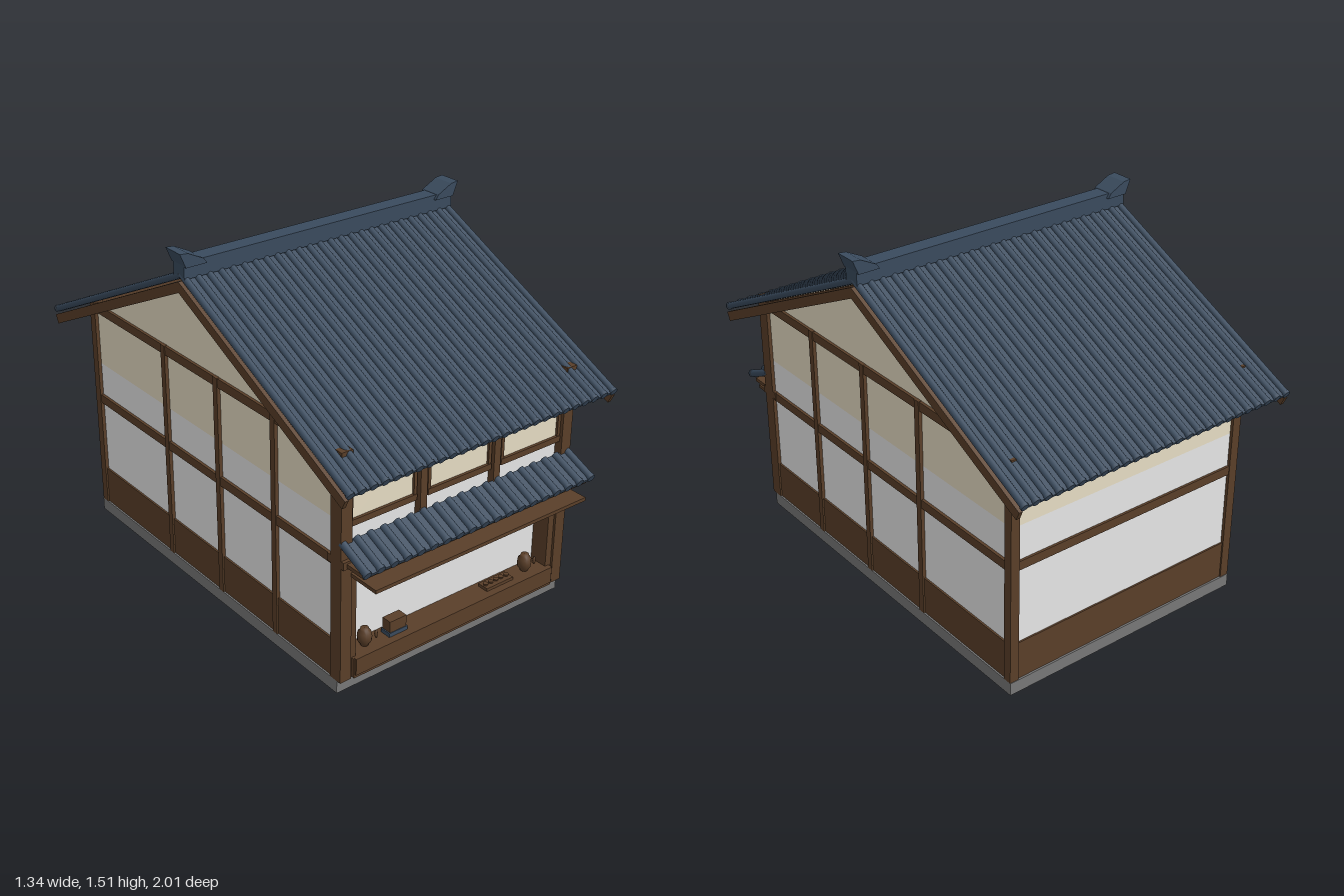
import * as THREE from 'three';

const mat = (name, color, side = THREE.FrontSide) => {
  const m = new THREE.MeshStandardMaterial({ color, side });
  m.name = name;
  return m;
};

export function createModel() {
  const wood = mat('dark wood', 0x5a3f29);
  const white = mat('white plaster', 0xf8f8f8);
  const cream = mat('cream plaster', 0xf2e8ce);
  const tile = mat('blue grey tile', 0x3a4b5e);
  const stone = mat('grey stone', 0x787878);

  const model = new THREE.Group();
  model.name = 'shopHouse';

  const add = (name, geo, m, parent = model) => {
    const mesh = new THREE.Mesh(geo, m);
    mesh.name = name;
    parent.add(mesh);
    return mesh;
  };
  // Box given by its min and max on each axis
  const box = (name, m, x0, x1, y0, y1, z0, z1, parent = model) => {
    const mesh = add(name, new THREE.BoxGeometry(x1 - x0, y1 - y0, z1 - z0), m, parent);
    mesh.position.set((x0 + x1) / 2, (y0 + y1) / 2, (z0 + z1) / 2);
    return mesh;
  };
  // Same box on both sides of x = 0
  const pair = (name, m, x0, x1, ...rest) => {
    box(name, m, x0, x1, ...rest);
    box(name, m, -x1, -x0, ...rest);
  };

  // Foundation and plaster body, with a recess for the shop front
  box('foundation', stone, -0.57, 0.57, 0, 0.055, -0.84, 0.84);
  box('lowerWall', white, -0.555, 0.555, 0.055, 0.56, -0.825, 0.77);
  pair('recessCheek', white, 0.5, 0.555, 0.055, 0.56, 0.77, 0.83);
  box('middleWall', white, -0.555, 0.555, 0.56, 0.73, -0.825, 0.825);

  // Upper body including both gables
  const gable = new THREE.Shape([[-0.825, 0.73], [0.825, 0.73], [0.825, 0.99], [0, 1.392], [-0.825, 0.99]]
    .map(([a, b]) => new THREE.Vector2(a, b)));
  const gableGeo = new THREE.ExtrudeGeometry(gable, { depth: 1.11, bevelEnabled: false });
  gableGeo.translate(0, 0, -0.555).rotateY(Math.PI / 2);
  add('upperWall', gableGeo, cream);

  // Wooden skirting
  pair('sideSkirting', wood, 0.553, 0.563, 0.055, 0.22, -0.83, 0.83);
  box('backSkirting', wood, -0.56, 0.56, 0.055, 0.22, -0.832, -0.82);

  // Corner posts, side posts and beams
  pair('frontPost', wood, 0.52, 0.57, 0.055, 1.02, 0.8, 0.86);
  pair('backPost', wood, 0.53, 0.57, 0.055, 1.02, -0.838, -0.8);
  for (const z of [0.455, 0.09, -0.275]) {
    pair('sidePost', wood, 0.55, 0.57, 0.055, 1.01, z - 0.014, z + 0.014);
  }
  for (const y of [0.565, 0.99]) {
    pair('sideBeam', wood, 0.55, 0.567, y - 0.019, y + 0.019, -0.81, 0.81);
    box('backBeam', wood, -0.54, 0.54, y - 0.019, y + 0.019, -0.835, -0.82);
  }

  // Upper front: white wall with three framed windows
  box('upperFrontWall', white, -0.55, 0.55, 0.72, 0.985, 0.82, 0.83);
  for (const x of [-0.184, 0.18]) box('windowPost', wood, x - 0.016, x + 0.016, 0.58, 0.99, 0.82, 0.855);
  box('upperFrontBeam', wood, -0.53, 0.53, 0.965, 1.0, 0.82, 0.85);
  for (const [x0, x1] of [[-0.52, -0.21], [-0.157, 0.157], [0.208, 0.52]]) {
    box('windowPane', cream, x0, x1, 0.7, 0.97, 0.829, 0.836);
    box('windowSill', wood, x0, x1, 0.702, 0.727, 0.83, 0.848);
    for (const x of [x0, x1 - 0.014]) box('windowStile', wood, x, x + 0.014, 0.702, 0.97, 0.83, 0.846);
  }

  // Shop front: jambs, lintel, counter and projecting shelf
  pair('shopJamb', wood, 0.49, 0.525, 0.055, 0.56, 0.77, 0.85);
  box('shopLintel', wood, -0.57, 0.57, 0.553, 0.585, 0.78, 0.875);
  box('transom', cream, -0.49, 0.49, 0.515, 0.555, 0.77, 0.778);
  box('counter', wood, -0.51, 0.51, 0.055, 0.14, 0.765, 0.866);
  box('counterLip', wood, -0.505, 0.505, 0.07, 0.142, 0.86, 0.873);
  box('awningShelf', wood, -0.525, 0.525, 0.504, 0.519, 0.85, 1.0);

  // Tiled slope: local z runs down the slope from the group origin
  const tiledSlope = (name, halfWidth, length, count, r, thick) => {
    const g = new THREE.Group();
    g.name = name;
    box('tileBed', tile, -halfWidth, halfWidth, -thick, 0, 0, length, g);
    const rib = new THREE.CylinderGeometry(r, r, length, 10).rotateX(Math.PI / 2);
    const cap = new THREE.CylinderGeometry(r + 0.002, r + 0.002, 0.012, 12).rotateX(Math.PI / 2);
    for (let i = 0; i < count; i++) {
      const x = (halfWidth - r * 0.5) * (2 * i / (count - 1) - 1);
      add('tileRib', rib, tile, g).position.set(x, 0, length / 2);
      add('eaveCap', cap, tile, g).position.set(x, 0, length - 0.004);
    }
    return g;
  };

  // Main roof, one half for each side of the ridge, with barge boards
  const pitch = Math.atan(0.478);
  for (const turn of [0, Math.PI]) {
    const half = new THREE.Group();
    half.name = turn ? 'backRoof' : 'frontRoof';
    half.rotation.y = turn;
    model.add(half);
    const slope = tiledSlope('roofSlope', 0.645, 1.102, 26, 0.0145, 0.012);
    slope.position.y = 1.414;
    slope.rotation.x = pitch;
    half.add(slope);
    const boards = new THREE.Group();
    boards.name = 'bargeBoards';
    boards.position.y = 1.367;
    boards.rotation.x = pitch;
    half.add(boards);
    for (const s of [-1, 1]) {
      box('bargeBoard', wood, s * 0.647 - 0.008, s * 0.647 + 0.008, -0.02, 0.02, -0.008, 1.083, boards);
    }
    // Rafter against the gable wall
    for (const s of [-1, 1]) {
      box('gableRafter', wood, s * 0.562 - 0.008, s * 0.562 + 0.008, -0.02, 0.02, -0.008, 0.95, boards);
    }
  }

  // Ridge with flared end tiles
  box('ridge', tile, -0.65, 0.65, 1.405, 1.473, -0.036, 0.036);
  const flare = new THREE.Shape([[0.555, 1.455], [0.648, 1.455], [0.672, 1.514], [0.637, 1.51], [0.57, 1.476]]
    .map(([a, b]) => new THREE.Vector2(a, b)));
  for (const turn of [0, Math.PI]) {
    const geo = new THREE.ExtrudeGeometry(flare, { depth: 0.096, bevelEnabled: false });
    geo.translate(0, 0, -0.048);
    add('ridgeEnd', geo, tile).rotation.y = turn;
  }

  // Awning over the shop front
  const awning = tiledSlope('awning', 0.565, 0.155, 19, 0.016, 0.014);
  awning.position.set(0, 0.652, 0.85);
  awning.rotation.x = Math.atan(0.44);
  model.add(awning);
  box('awningBeam', wood, -0.555, 0.555, 0.56, 0.576, 0.86, 0.97);

  // Lanterns and small bottles on the counter
  const profile = (pts) => new THREE.LatheGeometry(pts.map(([a, b]) => new THREE.Vector2(a, b)), 14);
  const lantern = profile([[0, 0], [0.016, 0], [0.018, 0.008], [0.027, 0.02], [0.029, 0.038],
    [0.027, 0.056], [0.018, 0.068], [0.016, 0.076], [0, 0.076]]);
  const bottle = profile([[0, 0], [0.004, 0.002], [0.007, 0.015], [0.006, 0.025], [0.003, 0.034], [0, 0.035]]);
  for (const x of [-0.42, 0.405]) {
    add('lantern', lantern, wood).position.set(x, 0.14, 0.815);
    add('bottle', bottle, wood).position.set(x + 0.056, 0.147, 0.815);
  }

  // Display chest and serving tray
  box('chestBase', tile, -0.32, -0.23, 0.14, 0.157, 0.79, 0.84);
  box('chest', wood, -0.315, -0.235, 0.157, 0.205, 0.793, 0.837);
  box('tray', wood, 0.18, 0.32, 0.14, 0.153, 0.79, 0.84);
  const cup = new THREE.CylinderGeometry(0.011, 0.008, 0.01, 10);
  for (let i = 0; i < 5; i++) add('cup', cup, wood).position.set(0.195 + i * 0.0275, 0.156, 0.815);

  return model;
}
